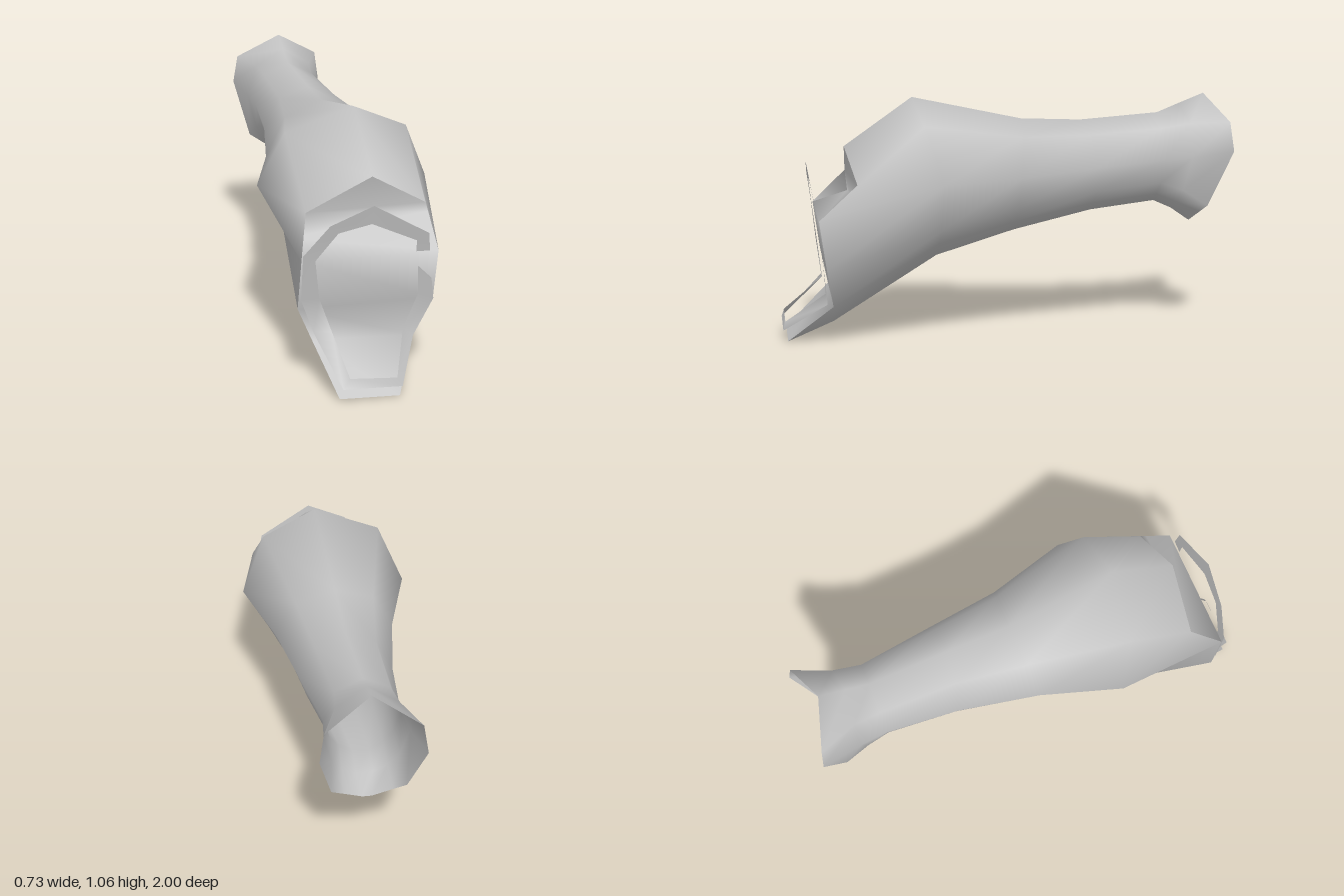
import * as THREE from 'three';

const grey = new THREE.MeshStandardMaterial({ color: 0xc0c0c0, side: THREE.DoubleSide });
grey.name = 'plain grey';

// Front edge, left and right: crown, shoulder, side, flank, lower edge, keel, tongue tip
const crown = [0.03, 0.85, 0.72];
const leftEdge = [[0.265, 0.71, 0.68], [0.275, 0.56, 0.845], [0.265, 0.345, 0.815], [0.19, 0.17, 0.785], [0.09, 0.085, 0.78]];
const rightEdge = [[-0.24, 0.71, 0.7], [-0.29, 0.56, 0.845], [-0.3, 0.345, 0.815], [-0.235, 0.19, 0.785], [-0.14, 0.085, 0.78]];
const brow = [-0.31, 0.605, 0.685];
const tipLeft = [0.085, 0, 0.98], tipRight = [-0.165, 0.01, 0.98];

// Half cross-sections behind the front edge, from front to back, each point [x, y, z];
// 'shift' moves the mirrored ring sideways.
const rings = [
  { shift: 0, half: [[0.025, 1.06, 0.42], [0.26, 0.955, 0.39], [0.367, 0.71, 0.32], [0.255, 0.5, 0.32], [0.17, 0.43, 0.32], [0.06, 0.36, 0.32]] },
  { shift: 0, half: [[0, 0.955, -0.07], [0.17, 0.89, -0.05], [0.26, 0.72, -0.03], [0.2, 0.58, -0.03], [0.135, 0.515, -0.03], [0.05, 0.463, -0.03]] },
  { shift: 0, half: [[0, 0.945, -0.34], [0.13, 0.89, -0.36], [0.2, 0.75, -0.38], [0.165, 0.64, -0.38], [0.115, 0.585, -0.38], [0.045, 0.543, -0.38]] },
  { shift: -0.02, half: [[0, 0.97, -0.7], [0.115, 0.91, -0.7], [0.16, 0.77, -0.7], [0.13, 0.665, -0.69], [0.09, 0.61, -0.68], [0.035, 0.573, -0.68]] },
  { shift: -0.02, half: [[0, 1.01, -0.8], [0.13, 0.93, -0.82], [0.175, 0.78, -0.82], [0.14, 0.63, -0.79], [0.095, 0.57, -0.78], [0.035, 0.533, -0.77]] },
  { shift: -0.02, half: [[0, 1.055, -0.915], [0.195, 0.94, -0.985], [0.215, 0.81, -1], [0.155, 0.56, -0.9], [0.1, 0.525, -0.88], [0.02, 0.475, -0.853]] },
];

function makeMesh(name, points, index) {
  const geometry = new THREE.BufferGeometry();
  geometry.setAttribute('position', new THREE.Float32BufferAttribute(points.flat(), 3));
  geometry.setIndex(index);
  geometry.computeVertexNormals();
  const mesh = new THREE.Mesh(geometry, grey);
  mesh.name = name;
  return mesh;
}

// Sleeve lofted through the front edge and the mirrored rings, open at the back
function makeSleeve() {
  const points = [crown, ...leftEdge, ...[...rightEdge].reverse()], index = [];
  const n = points.length;
  for (const { shift, half } of rings) {
    const mirrored = half.slice(1).reverse().map(([x, y, z]) => [-x, y, z]);
    for (const [x, y, z] of [...half, ...mirrored]) points.push([x + shift, y, z]);
  }
  for (let i = 0; i < rings.length; i++) {
    for (let j = 0; j < n; j++) {
      const a = i * n + j, b = i * n + (j + 1) % n;
      index.push(a, b, a + n, b, b + n, a + n);
    }
  }
  // Underside of the tongue and the small brow corner
  const tl = points.push(tipLeft) - 1;
  const tr = points.push(tipRight) - 1;
  const br = points.push(brow) - 1;
  index.push(tl, 5, 4, tl, tr, 5, tr, 6, 5, tr, 7, 6, 9, br, 10);
  return makeMesh('sleeve', points, index);
}

// Strip between pairs of edge points
function makeStrip(name, pairs) {
  const index = [];
  for (let i = 0; i < pairs.length - 1; i++) {
    const a = i * 2;
    index.push(a, a + 1, a + 2, a + 1, a + 3, a + 2);
  }
  return makeMesh(name, pairs.flat(), index);
}

export function createModel() {
  const model = new THREE.Group();
  model.name = 'flaredSleeve';
  model.add(makeSleeve());

  // Panel closing the front, down to the top of the tongue
  model.add(makeStrip('frontPanel', [
    [crown, crown],
    [leftEdge[0], rightEdge[0]],
    [[0.268, 0.68, 0.713], brow],
    [leftEdge[1], rightEdge[1]],
    [leftEdge[2], rightEdge[2]],
    [leftEdge[3], rightEdge[3]],
    [tipLeft, tipRight],
  ]));

  // Thin rim in front of the panel, broken on the left side
  model.add(makeStrip('frontRim', [
    [[0.237, 0.565, 0.852], [0.18, 0.565, 0.85]],
    [[0.228, 0.645, 0.865], [0.18, 0.615, 0.858]],
    [[-0.005, 0.785, 0.885], [-0.01, 0.705, 0.872]],
    [[-0.18, 0.71, 0.875], [-0.145, 0.675, 0.868]],
    [[-0.285, 0.585, 0.855], [-0.235, 0.56, 0.852]],
    [[-0.29, 0.39, 0.834], [-0.215, 0.39, 0.832]],
    [[-0.235, 0.235, 0.815], [-0.16, 0.235, 0.815]],
    [[-0.155, 0.06, 1], [-0.125, 0.1, 0.99]],
    [[0.09, 0.05, 1], [0.07, 0.085, 0.99]],
    [[0.185, 0.18, 0.81], [0.14, 0.22, 0.815]],
    [[0.263, 0.345, 0.828], [0.197, 0.37, 0.828]],
    [[0.25, 0.44, 0.838], [0.19, 0.5, 0.842]],
  ]));
  return model;
}
